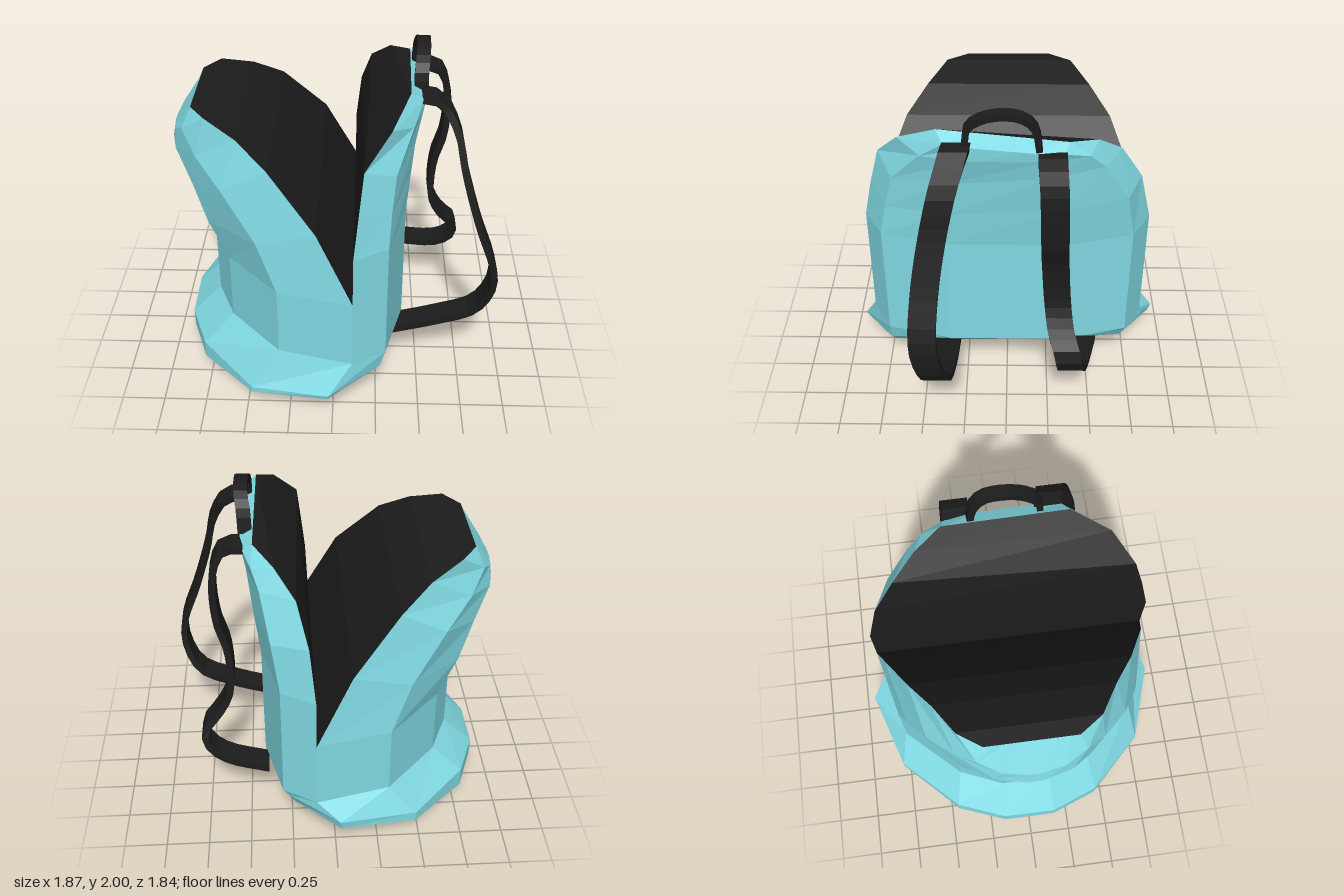
import * as THREE from 'three';

const mat = (color) => new THREE.MeshStandardMaterial({ color, flatShading: true });
const lerp = (a, b, t) => a.map((v, i) => v + (b[i] - v) * t);
const mirror = ([x, y, z]) => [x, y, -z];

// Skin over rows of points; faces look along (column direction) x (row direction).
function skin(name, material, rows, { closed = false, skip = () => false } = {}) {
  const pos = [];
  const n = rows[0].length;
  for (let r = 0; r < rows.length - 1; r++) {
    for (let c = 0; c < (closed ? n : n - 1); c++) {
      if (skip(r, c)) continue;
      const d = (c + 1) % n;
      const [p, q, s, t] = [rows[r][c], rows[r][d], rows[r + 1][d], rows[r + 1][c]];
      for (const v of [p, q, s, p, s, t]) pos.push(...v);
    }
  }
  const g = new THREE.BufferGeometry();
  g.setAttribute('position', new THREE.Float32BufferAttribute(pos, 3));
  g.computeVertexNormals();
  const m = new THREE.Mesh(g, material);
  m.name = name;
  return m;
}

// Flat band swept along a curve, its width lying along one axis.
function band(name, material, points, axis, width, thick, steps) {
  const curve = new THREE.CatmullRomCurve3(points.map((p) => new THREE.Vector3(...p)));
  const rows = [];
  for (let i = 0; i <= steps; i++) {
    const p = curve.getPointAt(i / steps);
    const N = curve.getTangentAt(i / steps).cross(axis).normalize();
    rows.push([[1, 1], [-1, 1], [-1, -1], [1, -1]].map(([w, k]) =>
      p.clone().addScaledVector(axis, w * width / 2).addScaledVector(N, k * thick / 2).toArray()));
  }
  rows.unshift(Array(4).fill(points[0]));
  rows.push(Array(4).fill(points[points.length - 1]));
  return skin(name, material, rows, { closed: true });
}

export function createModel() {
  const group = new THREE.Group();
  const cloth = mat(0x80d8e2), dark = mat(0x1c1c1c), grey = mat(0x6b6470);

  // Base: half rings, from the strap side round to the opening side
  const halves = [
    [[0.22, 0.2, 0.27], [0.17, 0.175, 0.64], [-0.03, 0.13, 0.83], [-0.46, 0.05, 0.7], [-0.74, 0.01, 0.4], [-0.84, 0, 0.14]],
    [[0.25, 0.23, 0.33], [0.23, 0.215, 0.7], [-0.03, 0.18, 0.91], [-0.47, 0.1, 0.78], [-0.79, 0.07, 0.45], [-0.9, 0.08, 0.16]],
    [[0.33, 0.31, 0.35], [0.27, 0.27, 0.72], [-0.02, 0.21, 0.92], [-0.47, 0.135, 0.78], [-0.79, 0.18, 0.45], [-0.9, 0.19, 0.16]],
    [[0.4, 0.38, 0.35], [0.3, 0.38, 0.72], [0.11, 0.38, 0.83], [-0.31, 0.38, 0.73], [-0.61, 0.38, 0.41], [-0.72, 0.38, 0.15]],
  ];
  const tilt = [0.05, 0.07, 0.1, 0];
  const rings = halves.map((h, i) => {
    const far = h.map(([x, y, z]) => [x, y + tilt[i] * z, -z]);
    return [...far, ...[...h].reverse()];
  });
  const bottomCentre = Array(12).fill([-0.33, 0.095, 0]);
  group.add(skin('base', cloth, [bottomCentre, ...rings], { closed: true }));

  // Front wall: each row runs from the rim to the middle, then is mirrored
  const wall = [
    [[0.11, 0.38, 0.83], [-0.31, 0.38, 0.73], [-0.61, 0.38, 0.41], [-0.72, 0.38, 0.15]],
    [[0.11, 0.8, 0.83], [-0.31, 0.8, 0.73], [-0.61, 0.8, 0.41], [-0.72, 0.8, 0.15]],
    [[-0.09, 1.2, 0.75], [-0.42, 1.08, 0.67], [-0.72, 1.04, 0.39], [-0.81, 1.02, 0.13]],
    [[-0.35, 1.5, 0.61], [-0.61, 1.34, 0.55], [-0.8, 1.25, 0.33], [-0.88, 1.24, 0.1]],
    [[-0.52, 1.62, 0.49], [-0.76, 1.47, 0.4], [-0.9, 1.41, 0.21], [-0.94, 1.4, 0.04]],
    [[-0.7, 1.69, 0.38], [-0.84, 1.58, 0.29], [-0.9, 1.52, 0.17], [-0.92, 1.5, 0.04]],
    [[-0.79, 1.69, 0.25], [-0.79, 1.69, 0.2], [-0.79, 1.69, 0.14], [-0.79, 1.69, 0.07]],
  ].map((h) => [...h.map(mirror), ...[...h].reverse()]);
  const isPatch = (r, c) => r === 2 && c >= 2 && c <= 4;
  group.add(skin('frontWall', cloth, wall, { skip: isPatch }));
  group.add(skin('frontPatch', grey, wall.slice(2, 4).map((r) => r.slice(2, 6))));
  // Lining stretched from rim to rim, meeting the back lining in a V
  group.add(skin('frontLining', dark, wall.slice(1).map((r) => [r[7], r[0]])));

  // Back panel: opening edge and outer edge on each side
  const edgeL = [[0.11, 0.38, 0.83], [0.11, 1.1, 0.83], [0.135, 1.34, 0.78], [0.16, 1.57, 0.72], [0.3, 1.74, 0.59], [0.4, 1.85, 0.37]];
  const edgeR = [[0.11, 0.38, -0.83], [0.11, 1.1, -0.83], [0.14, 1.4, -0.76], [0.2, 1.62, -0.63], [0.31, 1.74, -0.49], [0.42, 1.79, -0.33]];
  const outL = [[0.3, 0.38, 0.72], [0.3, 1.1, 0.72], [0.31, 1.3, 0.68], [0.33, 1.5, 0.63], [0.42, 1.7, 0.46], [0.47, 1.8, 0.33]];
  const outR = [[0.3, 0.38, -0.72], [0.3, 1.1, -0.72], [0.34, 1.38, -0.67], [0.39, 1.62, -0.53], [0.43, 1.71, -0.44], [0.48, 1.75, -0.3]];
  const bulge = [0.1, 0.1, 0.1, 0.09, 0.06, 0.015];
  const panel = edgeL.map((a, i) => {
    const mid = (t) => {
      const p = lerp(outL[i], outR[i], t);
      p[0] += bulge[i];
      return p;
    };
    return [a, outL[i], mid(0.26), mid(0.74), outR[i], edgeR[i]];
  });
  // Row that closes the top edge
  panel.push([0, 0.05, 0.27, 0.73, 0.95, 1].map((t) => lerp(edgeL[5], edgeR[5], t)));
  group.add(skin('backPanel', cloth, panel));
  group.add(skin('backLining', dark, edgeL.map((a, i) => [edgeR[i], a])));

  // Shoulder straps and carrying handle
  const zAxis = new THREE.Vector3(0, 0, 1), xAxis = new THREE.Vector3(1, 0, 0);
  group.add(band('strapNear', dark, [
    [0.46, 1.79, 0.26], [0.57, 1.77, 0.28], [0.66, 1.62, 0.33], [0.71, 1.4, 0.38], [0.8, 1.1, 0.43], [0.905, 0.8, 0.45],
    [0.905, 0.65, 0.43], [0.82, 0.47, 0.39], [0.6, 0.37, 0.37], [0.26, 0.27, 0.36],
  ], zAxis, 0.15, 0.038, 26));
  group.add(band('strapFar', dark, [
    [0.47, 1.74, -0.24], [0.58, 1.73, -0.24], [0.64, 1.6, -0.25], [0.64, 1.3, -0.26], [0.59, 1.1, -0.27], [0.59, 0.82, -0.29],
    [0.66, 0.68, -0.31], [0.75, 0.57, -0.35], [0.73, 0.47, -0.37], [0.63, 0.4, -0.4], [0.38, 0.37, -0.46],
  ], zAxis, 0.15, 0.038, 28));
  group.add(band('handle', dark, [
    [0.46, 1.8, 0.215], [0.46, 1.9, 0.2], [0.47, 1.96, 0.12], [0.475, 1.982, 0],
    [0.475, 1.96, -0.09], [0.465, 1.9, -0.145], [0.46, 1.77, -0.17],
  ], xAxis, 0.075, 0.035, 14));

  return group;
}
